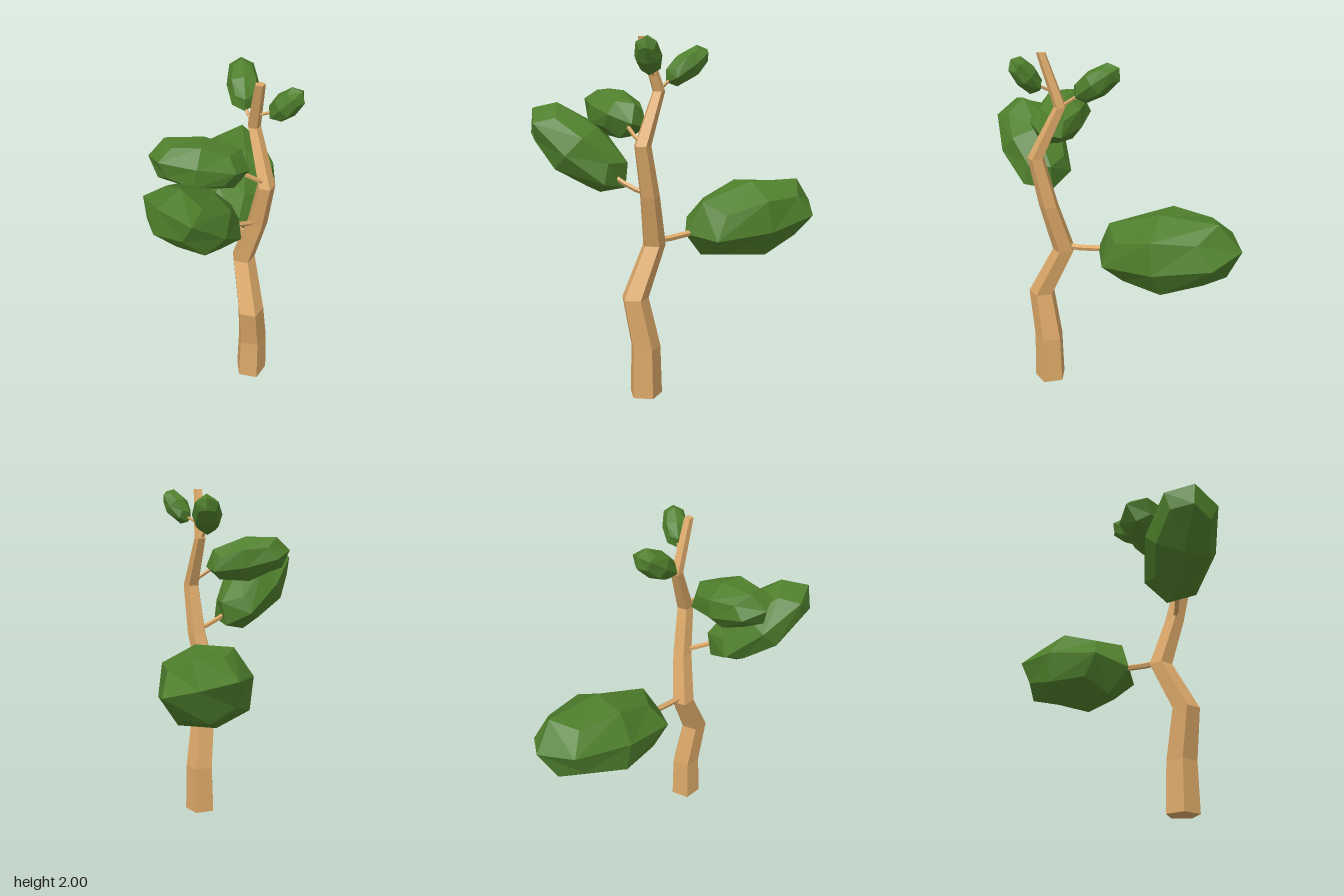
import * as THREE from 'three';

const bark = new THREE.MeshStandardMaterial({ color: 0xdba868, flatShading: true });
const green = new THREE.MeshStandardMaterial({ color: 0x4f7f2c, flatShading: true });

// Trunk stations, evenly spaced in height: [x, z, radius]
const STATIONS = [
  [0.275, 0.13, 0.096], [0.277, 0.13, 0.088], [0.29, 0.185, 0.079], [0.183, 0.092, 0.068],
  [0.272, 0.1, 0.058], [0.333, 0.127, 0.049], [0.212, 0.057, 0.036], [0.282, 0.132, 0.027],
];

// Each limb: twig path and radius, leaf clump centre and its long and side half-axes plus upward half-axis
const LIMBS = [
  { name: 'lowerBack', twig: [[0.18, 0.88, 0.09], [0.11, 0.885, -0.01], [0.0, 0.91, -0.15]], r: 0.018,
    centre: [-0.177, 0.965, -0.43], axes: [[-0.223, 0.07, -0.36], [0.207, -0.055, -0.143], [0.06, 0.22, -0.01]] },
  { name: 'middleFront', twig: [[0.272, 1.16, 0.1], [0.25, 1.19, 0.2], [0.2, 1.25, 0.32]], r: 0.015,
    centre: [0.148, 1.398, 0.524], axes: [[-0.02, 0.22, 0.27], [0.2, -0.03, 0.025], [0.03, 0.117, -0.114]] },
  { name: 'upperFront', twig: [[0.333, 1.44, 0.127], [0.3, 1.485, 0.18], [0.22, 1.55, 0.24]], r: 0.012,
    centre: [0.06, 1.59, 0.335], axes: [[-0.213, 0.05, 0.14], [0.068, 0.05, 0.128], [-0.005, 0.125, -0.055]] },
  { name: 'topBack', twig: [[0.212, 1.71, 0.057], [0.17, 1.745, 0.035], [0.12, 1.78, 0.0]], r: 0.009,
    centre: [0.064, 1.851, -0.08], axes: [[-0.075, 0.09, -0.105], [0.068, 0, -0.052], [0.029, 0.061, 0.038]] },
  { name: 'topLeft', twig: [[0.235, 1.79, 0.078], [0.28, 1.815, 0.08], [0.36, 1.855, 0.08]], r: 0.008,
    centre: [0.402, 1.9, 0.08], axes: [[0.08, 0.09, 0], [0, 0, 0.073], [-0.048, 0.045, 0]] },
];

const vec = (p) => new THREE.Vector3(...p);

// Crooked five-sided trunk: a cylinder whose rings are moved and tapered
function makeTrunk() {
  const last = STATIONS.length - 1;
  const geo = new THREE.CylinderGeometry(1, 1, 2, 5, last, false, -Math.PI / 2);
  const pos = geo.attributes.position;
  for (let i = 0; i < pos.count; i++) {
    const y = pos.getY(i) + 1;
    const [x, z, r] = STATIONS[Math.round((y / 2) * last)];
    pos.setXYZ(i, x + pos.getX(i) * r, y, z + pos.getZ(i) * r);
  }
  geo.computeVertexNormals();
  const mesh = new THREE.Mesh(geo, bark);
  mesh.name = 'trunk';
  return mesh;
}

// Leaf clump: a 2x2x2 box rounded to a faceted ball, then stretched along three axes
function makeClump({ name, centre, axes }) {
  const geo = new THREE.BoxGeometry(2, 2, 2, 2, 2, 2);
  const pos = geo.attributes.position;
  const [a, b, c] = axes.map(vec);
  if (new THREE.Vector3().crossVectors(a, b).dot(c) < 0) b.negate();
  const basis = new THREE.Matrix4().makeBasis(a, b, c).setPosition(vec(centre));
  const p = new THREE.Vector3();
  const shrink = [1, 1, 0.75, 5 / 9];
  for (let i = 0; i < pos.count; i++) {
    p.fromBufferAttribute(pos, i).round();
    p.multiplyScalar(shrink[Math.abs(p.x) + Math.abs(p.y) + Math.abs(p.z)]).applyMatrix4(basis);
    pos.setXYZ(i, p.x, p.y, p.z);
  }
  geo.computeVertexNormals();
  const mesh = new THREE.Mesh(geo, green);
  mesh.name = name + 'Leaves';
  return mesh;
}

// Thin bent twig joining the trunk to a leaf clump
function makeTwig({ name, twig, r }) {
  const curve = new THREE.CatmullRomCurve3(twig.map(vec));
  const mesh = new THREE.Mesh(new THREE.TubeGeometry(curve, 3, r, 5), bark);
  mesh.name = name + 'Twig';
  return mesh;
}

export function createModel() {
  const tree = new THREE.Group();
  tree.name = 'tree';
  tree.add(makeTrunk());
  for (const limb of LIMBS) tree.add(makeTwig(limb), makeClump(limb));
  return tree;
}
